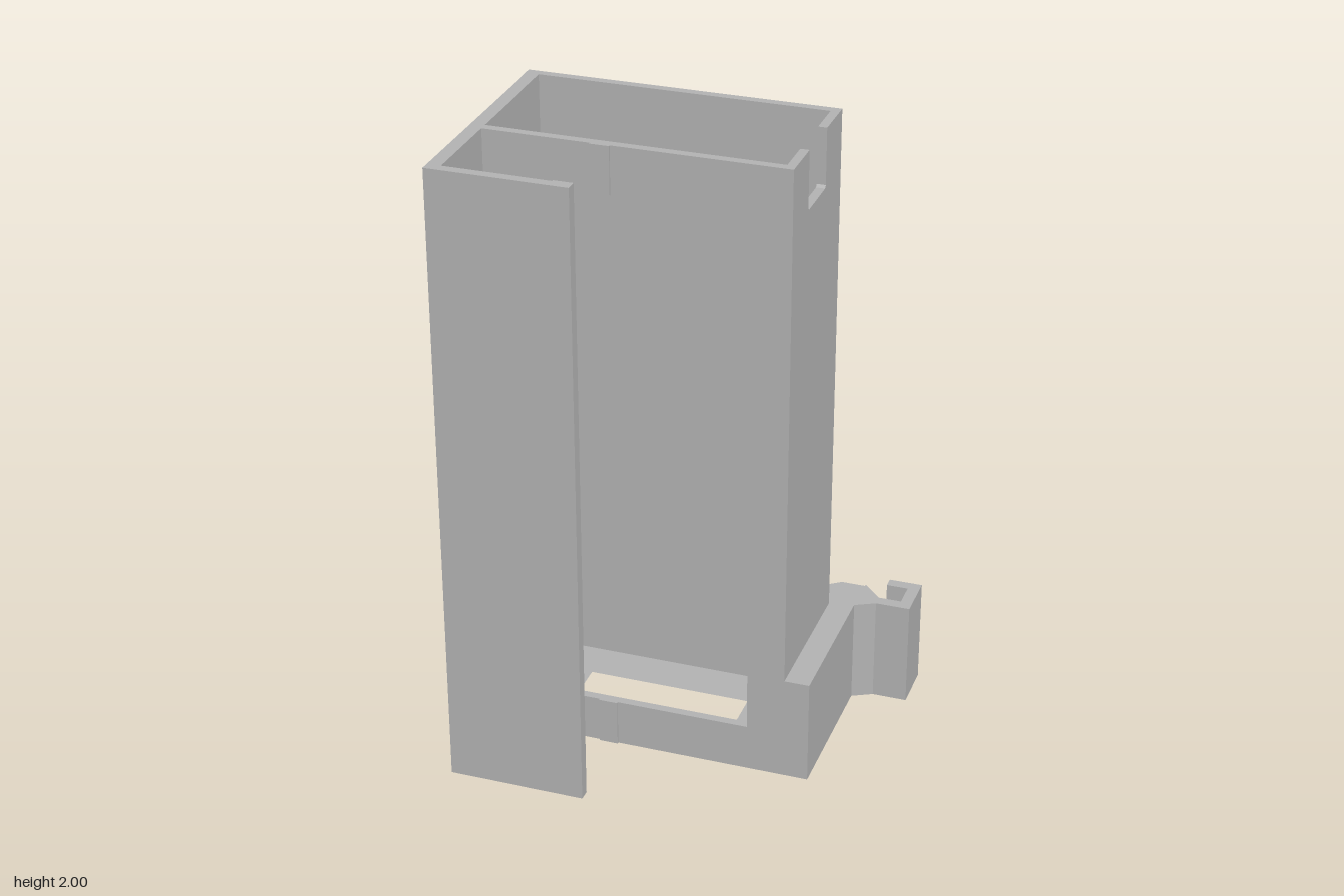
import * as THREE from 'three';

const V = (pts) => pts.map(([a, b]) => new THREE.Vector2(a, b));

export function createModel() {
  const group = new THREE.Group();
  const grey = new THREE.MeshStandardMaterial({ color: 0xb2b2b2 });
  grey.name = 'plain grey';

  const add = (name, geo) => {
    const mesh = new THREE.Mesh(geo, grey);
    mesh.name = name;
    group.add(mesh);
  };
  // Box given by its limits on each axis
  const box = (name, x0, x1, y0, y1, z0, z1) =>
    add(name, new THREE.BoxGeometry(x1 - x0, y1 - y0, z1 - z0)
      .translate((x0 + x1) / 2, (y0 + y1) / 2, (z0 + z1) / 2));
  // Outline (with optional hole) extruded by a depth
  const extrude = (pts, depth, hole) => {
    const shape = new THREE.Shape(V(pts));
    if (hole) shape.holes.push(new THREE.Path(V(hole)));
    return new THREE.ExtrudeGeometry(shape, { depth, bevelEnabled: false });
  };
  // Floor-plan outline in x and z, raised from the ground
  const plan = (pts, height, hole) => {
    const flip = (list) => list.map(([x, z]) => [x, -z]);
    return extrude(flip(pts), height, hole && flip(hole)).rotateX(-Math.PI / 2);
  };
  const rect = (a0, a1, b0, b1) => [[a0, b0], [a1, b0], [a1, b1], [a0, b1]];

  // Main case: slotted floor and four walls
  add('floor', plan(rect(-0.565, 0.33, -0.268, 0.15), 0.03, rect(-0.38, 0.145, -0.13, 0.012)));
  box('backWall', -0.565, 0.357, 0, 2, -0.295, -0.268);
  box('leftWall', -0.607, -0.565, 0, 2, -0.295, 0.492);
  add('frontWall', extrude(rect(-0.565, 0.357, 0, 2), 0.027, rect(-0.45, 0.24, 0.15, 1.85))
    .translate(0, 0, 0.15));

  // Right wall with the cable notch in its top edge (outline in -z and y)
  add('rightWall', extrude([
    [-0.15, 0], [0.268, 0], [0.268, 2], [0.143, 2], [0.143, 1.825], [0.136, 1.817],
    [-0.022, 1.817], [-0.029, 1.825], [-0.029, 2], [-0.15, 2],
  ], 0.027).rotateY(Math.PI / 2).translate(0.33, 0, 0));

  // Front channel plate and the small gripping ridges
  box('channelPlate', -0.565, -0.178, 0, 2, 0.462, 0.492);
  box('plateRidge', -0.238, -0.178, 0, 2, 0.456, 0.462);
  for (const y of [0, 1.85]) box('wallRidge', -0.238, -0.178, y, y + 0.15, 0.177, 0.183);

  // Side bracket with the hooked clip
  add('clipBracket', plan([
    [0.357, 0.177], [0.435, 0.177], [0.435, -0.31], [0.497, -0.342], [0.605, -0.342],
    [0.605, -0.495], [0.5, -0.495], [0.5, -0.46], [0.568, -0.46], [0.568, -0.378],
    [0.497, -0.378], [0.437, -0.44], [0.435, -0.432], [0.36, -0.432], [0.175, -0.295],
    [0.357, -0.295],
  ], 0.34));

  return group;
}
